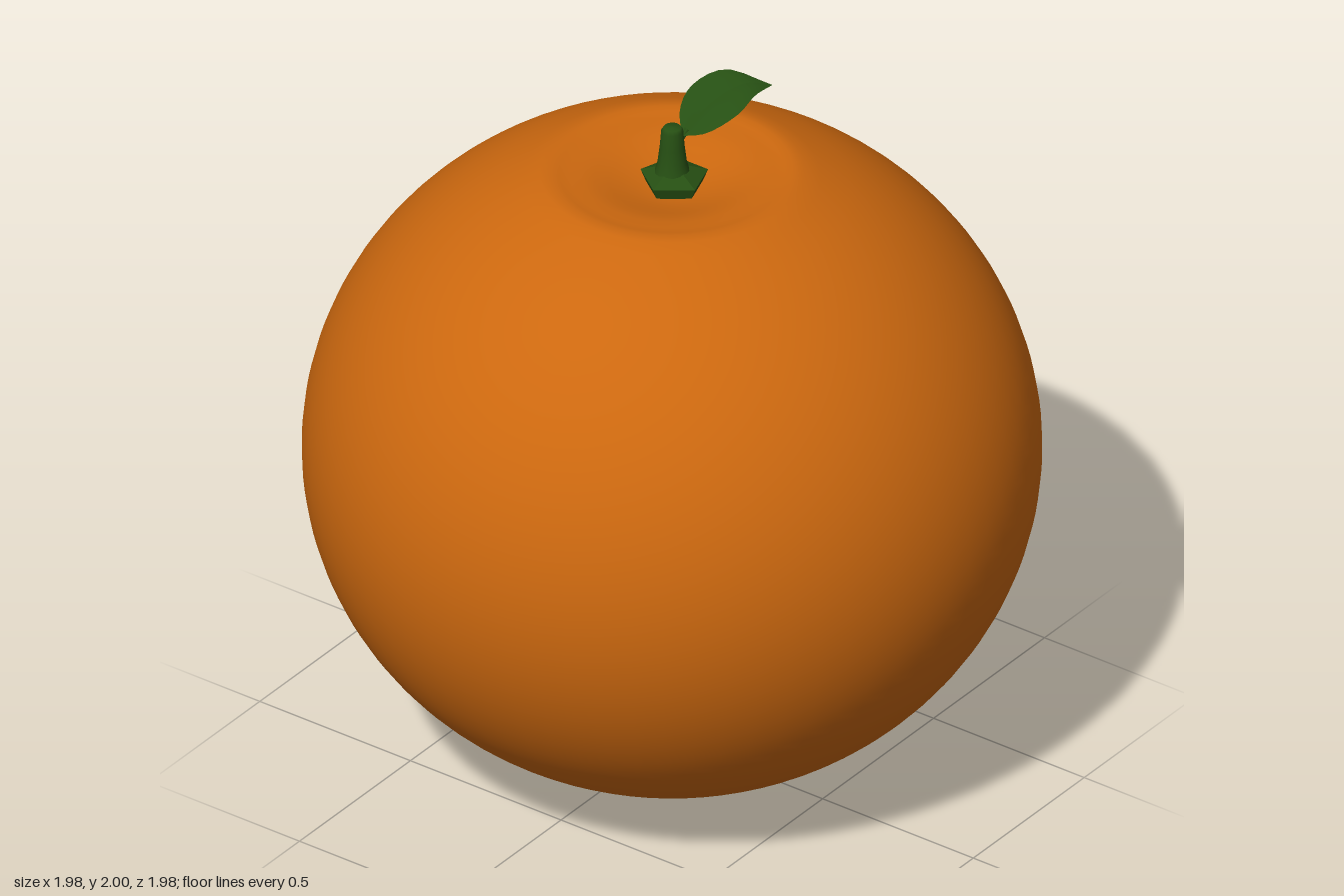
import * as THREE from 'three';

export function createModel() {
  const peel = new THREE.MeshStandardMaterial({ color: 0xcc680f });
  peel.name = 'orange peel';
  const green = new THREE.MeshStandardMaterial({ color: 0x264f13, side: THREE.DoubleSide });
  green.name = 'leaf green';
  const model = new THREE.Group();
  model.name = 'orangeFruit';

  const add = (name, geometry, material, x = 0, y = 0, z = 0) => {
    const mesh = new THREE.Mesh(geometry, material);
    mesh.name = name;
    mesh.position.set(x, y, z);
    model.add(mesh);
    return mesh;
  };
  const v = (x, y, z) => new THREE.Vector3(x, y, z);

  // Fruit: a slightly squashed ball with a shallow dimple at each pole
  const profile = [v(0, 0.04, 0), v(0.1, 0.033, 0), v(0.19, 0.026, 0)];
  for (let a = -73; a <= 70; a += 5.5) {
    const r = THREE.MathUtils.degToRad(a);
    profile.push(v(0.99 * Math.cos(r), 0.93 + 0.925 * Math.sin(r), 0));
  }
  profile.push(v(0.29, 1.792, 0), v(0.22, 1.785, 0), v(0.14, 1.762, 0), v(0.07, 1.746, 0), v(0, 1.742, 0));
  const outline = new THREE.CatmullRomCurve3(profile).getPoints(72)
    .map(p => new THREE.Vector2(Math.max(p.x, 0), p.y));
  add('fruit', new THREE.LatheGeometry(outline, 72), peel);

  // Five-sided calyx with a sloping top
  const calyx = new THREE.LatheGeometry([
    new THREE.Vector2(0.075, 1.735), new THREE.Vector2(0.095, 1.78),
    new THREE.Vector2(0.045, 1.8), new THREE.Vector2(0, 1.81),
  ], 5, -Math.PI / 2).toNonIndexed();
  calyx.computeVertexNormals();
  add('calyx', calyx, green, 0.01, 0, 0);

  // Stem with a flared foot and a domed cut end
  const stem = [[0.05, 1.785], [0.04, 1.82], [0.034, 1.87], [0.03, 1.92], [0.024, 1.93], [0, 1.932]];
  add('stem', new THREE.LatheGeometry(stem.map(p => new THREE.Vector2(...p)), 14), green, 0.008, 0, -0.005);

  // Short stalk joining the leaf to the stem
  const stalk = new THREE.CatmullRomCurve3([v(0.02, 1.862, -0.01), v(0.04, 1.872, -0.005), v(0.065, 1.898, 0.003)]);
  add('leafStalk', new THREE.TubeGeometry(stalk, 6, 0.009, 6), green);

  // Leaf: two halves lofted between the midrib and each edge
  const base = v(0.045, 1.885, 0), tip = v(0.29, 1.967, 0.12);
  const curve = (...mid) => new THREE.CatmullRomCurve3([base, ...mid, tip]);
  const midrib = curve(v(0.1, 1.922, 0.008), v(0.17, 1.962, 0.035), v(0.24, 1.982, 0.073));
  const backEdge = curve(v(0.09, 1.932, -0.04), v(0.16, 1.968, -0.052), v(0.235, 2.0, 0));
  const frontEdge = curve(v(0.07, 1.905, 0.063), v(0.145, 1.945, 0.113), v(0.22, 1.968, 0.115));
  const loft = (a, b) => {
    const steps = 14, positions = [], index = [];
    for (let i = 0; i <= steps; i++) {
      const p = a.getPoint(i / steps), q = b.getPoint(i / steps);
      const m = p.clone().lerp(q, 0.5);
      m.y += 0.006 * Math.sin(Math.PI * i / steps);
      [p, m, q].forEach(c => positions.push(c.x, c.y, c.z));
      if (i < steps) for (let j = 0; j < 2; j++) {
        const k = i * 3 + j;
        index.push(k, k + 1, k + 3, k + 1, k + 4, k + 3);
      }
    }
    const g = new THREE.BufferGeometry();
    g.setAttribute('position', new THREE.Float32BufferAttribute(positions, 3));
    g.setIndex(index);
    g.computeVertexNormals();
    return g;
  };
  add('leafBackHalf', loft(backEdge, midrib), green);
  add('leafFrontHalf', loft(midrib, frontEdge), green);

  // Small button on the underside
  const button = add('blossomEnd', new THREE.SphereGeometry(0.034, 14, 8), green, 0.05, 0.018, 0.035);
  button.scale.y = 0.53;

  return model;
}
